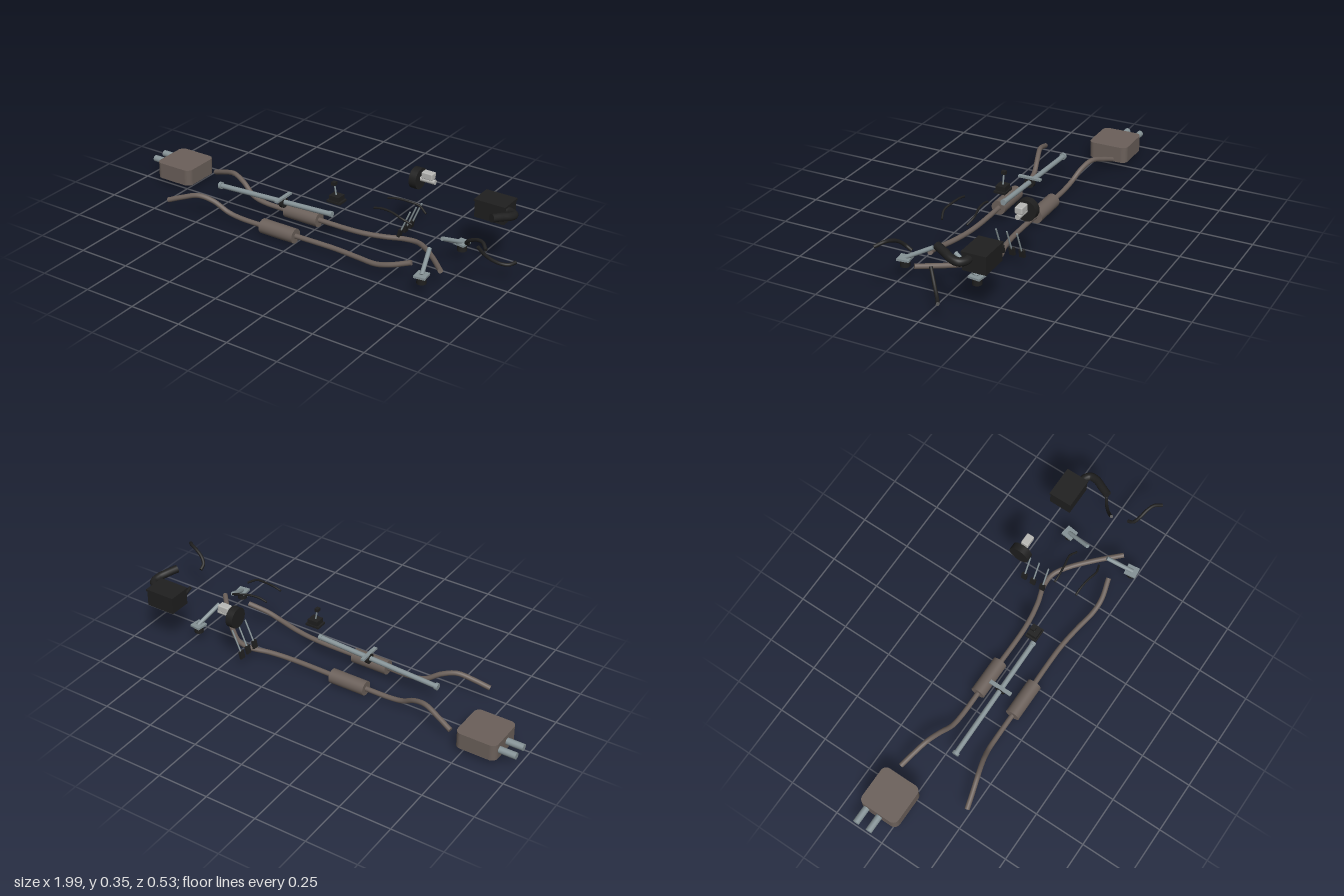
import * as THREE from 'three';
import { RoundedBoxGeometry } from 'three/addons/geometries/RoundedBoxGeometry.js';

const mat = (name, color) => {
  const m = new THREE.MeshStandardMaterial({ color });
  m.name = name;
  return m;
};

export function createModel() {
  const exhaust = mat('exhaust brown', 0x6b605a);
  const steel = mat('blue grey steel', 0x859296);
  const black = mat('black', 0x1f1f1f);
  const pale = mat('pale metal', 0xb9b9b6);
  const model = new THREE.Group();
  const V = (p) => new THREE.Vector3(...p);

  const add = (name, geometry, material, pos = [0, 0, 0]) => {
    const mesh = new THREE.Mesh(geometry, material);
    mesh.name = name;
    mesh.position.set(...pos);
    model.add(mesh);
    return mesh;
  };
  const box = (name, size, pos, material) => add(name, new THREE.BoxGeometry(...size), material, pos);

  // Straight cylinder between two points
  const rod = (name, a, b, r, material, sides = 24) => {
    const A = V(a), B = V(b), d = B.clone().sub(A);
    const mesh = add(name, new THREE.CylinderGeometry(r, r, d.length(), sides), material);
    mesh.position.copy(A).add(B).multiplyScalar(0.5);
    mesh.quaternion.setFromUnitVectors(new THREE.Vector3(0, 1, 0), d.normalize());
    return mesh;
  };

  // Smooth bent tube with closed ends
  const pipe = (name, points, r, material) => {
    const curve = new THREE.CatmullRomCurve3(points.map(V));
    add(name, new THREE.TubeGeometry(curve, points.length * 10, r, 14), material);
    for (const [t, s] of [[0, -1], [1, 1]]) {
      const cap = add(name + 'End', new THREE.CircleGeometry(r, 14), material);
      cap.position.copy(curve.getPoint(t));
      cap.quaternion.setFromUnitVectors(new THREE.Vector3(0, 0, 1), curve.getTangent(t).multiplyScalar(s));
    }
  };

  // Rear silencer: box with rounded upright edges, and two tail pipes
  const s = new THREE.Shape(), w = 0.1, r = 0.03;
  s.absarc(w - r, w - r, r, 0, Math.PI / 2);
  s.absarc(r - w, w - r, r, Math.PI / 2, Math.PI);
  s.absarc(r - w, r - w, r, Math.PI, Math.PI * 1.5);
  s.absarc(w - r, r - w, r, Math.PI * 1.5, Math.PI * 2);
  const silencer = new THREE.ExtrudeGeometry(s, { depth: 0.08, bevelEnabled: false, curveSegments: 8 });
  silencer.rotateX(-Math.PI / 2);
  add('rearSilencer', silencer, exhaust, [-0.818, 0.032, -0.077]);
  for (const z of [-0.136, -0.067]) rod('tailPipe', [-1, 0.075, z], [-0.9, 0.075, z], 0.016, steel);

  // Twin exhaust pipes with centre silencers
  pipe('leftExhaustPipe', [
    [-0.67, 0.066, 0.238], [-0.6, 0.092, 0.22], [-0.52, 0.114, 0.197], [-0.45, 0.095, 0.175],
    [-0.38, 0.052, 0.158], [-0.31, 0.038, 0.154], [-0.1, 0.038, 0.154], [0.22, 0.04, 0.154],
    [0.34, 0.043, 0.168], [0.45, 0.052, 0.187], [0.52, 0.07, 0.187], [0.615, 0.1, 0.162],
  ], 0.012, exhaust);
  pipe('rightExhaustPipe', [
    [-0.67, 0.066, -0.125], [-0.6, 0.092, -0.106], [-0.52, 0.114, -0.083], [-0.45, 0.095, -0.062],
    [-0.38, 0.052, -0.043], [-0.31, 0.038, -0.038], [-0.1, 0.038, -0.038], [0.22, 0.04, -0.038],
    [0.34, 0.046, -0.055], [0.43, 0.051, -0.08], [0.5, 0.058, -0.076], [0.57, 0.07, -0.03],
    [0.66, 0.085, 0.055], [0.755, 0.102, 0.158],
  ], 0.012, exhaust);
  for (const z of [0.154, -0.038]) rod('centreSilencer', [-0.183, 0.038, z], [0, 0.038, z], 0.035, exhaust, 32);

  // Driveshaft with rear flange, centre bearing and its cross bracket
  rod('driveshaft', [-0.495, 0.116, 0.058], [0.13, 0.147, 0.058], 0.012, steel);
  rod('rearFlange', [-0.502, 0.116, 0.058], [-0.488, 0.117, 0.058], 0.017, steel);
  rod('frontFlange', [0.12, 0.147, 0.058], [0.135, 0.148, 0.058], 0.014, steel);
  rod('centreBearing', [-0.145, 0.131, 0.058], [-0.127, 0.132, 0.058], 0.025, black);
  box('bearingBracket', [0.018, 0.01, 0.115], [-0.136, 0.155, 0.058], steel);

  // Gear lever
  box('shifterPlate', [0.07, 0.01, 0.057], [0.152, 0.22, 0.05], black);
  box('shifterBase', [0.052, 0.024, 0.048], [0.152, 0.236, 0.05], black);
  rod('shifterStick', [0.15, 0.245, 0.05], [0.14, 0.3, 0.05], 0.004, steel, 12);
  box('shifterKnob', [0.018, 0.016, 0.022], [0.139, 0.302, 0.05], black);

  // Three pedals
  for (const z of [-0.077, -0.129, -0.178]) {
    rod('pedalArm', [0.413, 0.085, z], [0.46, 0.197, z], 0.004, steel, 12);
    const pad = box('pedalPad', [0.012, 0.038, 0.027], [0.411, 0.079, z], black);
    pad.rotation.z = -0.2;
  }

  // Brake booster, master cylinder and reservoir
  rod('brakeBooster', [0.4, 0.303, -0.206], [0.436, 0.303, -0.206], 0.05, black, 36);
  rod('masterCylinder', [0.43, 0.305, -0.206], [0.51, 0.305, -0.206], 0.012, pale);
  add('fluidReservoir', new RoundedBoxGeometry(0.056, 0.032, 0.037, 3, 0.005), pale, [0.474, 0.331, -0.206]);

  // Brake lines
  for (const [z, f] of [[0, -1], [0.115, 1]])
    pipe('brakeLine', [
      [0.39, 0.28, z], [0.43, 0.289, z + f * 0.001], [0.485, 0.289, z + f * 0.007],
      [0.54, 0.278, z + f * 0.016], [0.583, 0.256, z + f * 0.003],
    ], 0.005, black);

  // Air filter box with lid and intake hose
  box('airBox', [0.145, 0.082, 0.11], [0.815, 0.268, -0.202], black);
  box('airBoxLid', [0.153, 0.01, 0.116], [0.815, 0.309, -0.202], black);
  pipe('intakeHose', [
    [0.87, 0.286, -0.178], [0.905, 0.285, -0.175], [0.93, 0.287, -0.155],
    [0.928, 0.294, -0.12], [0.908, 0.303, -0.08], [0.885, 0.31, -0.034],
  ], 0.019, black);

  // Coolant hoses
  pipe('upperCoolantHose', [
    [0.855, 0.24, 0.106], [0.858, 0.258, 0.132], [0.882, 0.284, 0.149],
    [0.925, 0.306, 0.162], [0.958, 0.31, 0.176], [0.988, 0.297, 0.204],
  ], 0.008, black);
  pipe('lowerCoolantHose', [
    [0.855, 0.186, 0.018], [0.874, 0.15, -0.002], [0.9, 0.118, -0.026],
    [0.935, 0.094, -0.055], [0.965, 0.091, -0.074], [0.988, 0.105, -0.088],
  ], 0.008, black);

  // Mirrored mounts with angled arms
  const mid = 0.058;
  for (const side of [-1, 1]) {
    const z = mid + side * 0.175;
    box('mountPlate', [0.054, 0.01, 0.058], [0.707, 0.1, z], steel).rotation.y = side * 0.12;
    rod('mountBush', [0.707, 0.063, z], [0.707, 0.096, z], 0.022, black);
    rod('mountArm', [0.708, 0.102, z + side * 0.003], [0.672, 0.164, mid + side * 0.054], 0.01, steel);
  }

  return model;
}
